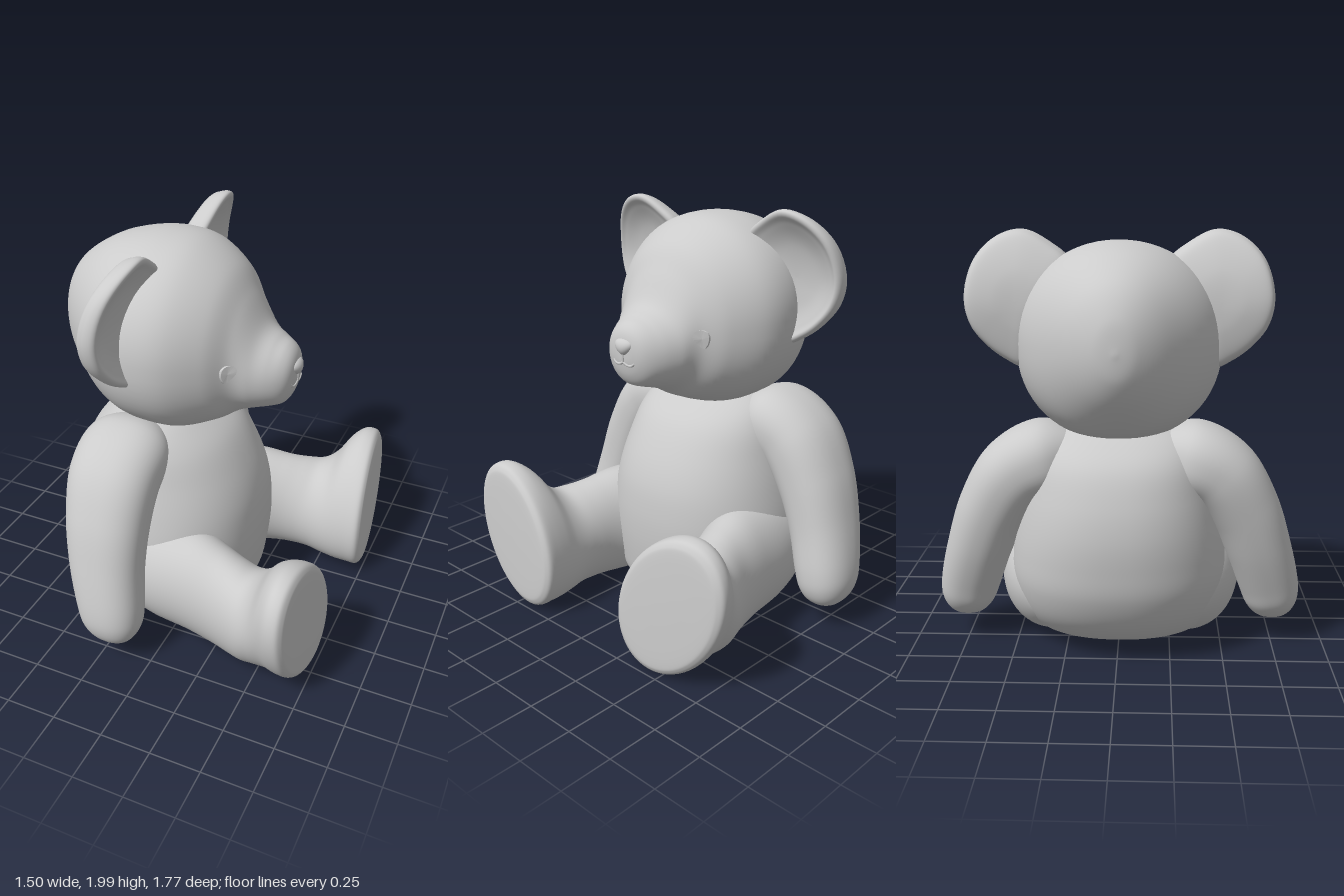
import * as THREE from 'three';

const V = (x, y, z) => new THREE.Vector3(x, y, z);

// Smooth value of a table of rows at position s (0..1), column by column
function sample(rows, s) {
  const f = s * (rows.length - 1), i = Math.min(Math.floor(f), rows.length - 2), t = f - i;
  const at = k => rows[Math.max(0, Math.min(rows.length - 1, k))];
  return rows[0].map((_, c) => {
    const a = at(i - 1)[c], b = at(i)[c], d = at(i + 1)[c], e = at(i + 2)[c];
    return b + 0.5 * t * (d - a + t * (2 * a - 5 * b + 4 * d - e + t * (3 * (b - d) + e - a)));
  });
}

// Closed skin through cross-sections; point(row, angle) gives each surface point
function loft(rows, point, steps = 72, around = 64) {
  const pos = [], idx = [];
  for (let i = 0; i <= steps; i++) {
    const row = sample(rows, i / steps);
    for (let j = 0; j < around; j++) pos.push(...point(row, j / around * Math.PI * 2).toArray());
  }
  for (let i = 0; i < steps; i++) for (let j = 0; j < around; j++) {
    const a = i * around + j, b = i * around + (j + 1) % around;
    idx.push(a, b, a + around, b, b + around, a + around);
  }
  // Cap both ends
  for (const [start, flip] of [[0, true], [steps * around, false]]) {
    const c = pos.length / 3, m = V(0, 0, 0);
    for (let j = 0; j < around; j++) m.add(V(...pos.slice((start + j) * 3, (start + j) * 3 + 3)));
    pos.push(...m.divideScalar(around).toArray());
    for (let j = 0; j < around; j++) {
      const a = start + j, b = start + (j + 1) % around;
      idx.push(...(flip ? [b, a, c] : [a, b, c]));
    }
  }
  // Turn the skin outwards if its signed volume is negative
  const p = k => V(pos[k * 3], pos[k * 3 + 1], pos[k * 3 + 2]);
  let volume = 0;
  for (let k = 0; k < idx.length; k += 3) volume += p(idx[k]).dot(p(idx[k + 1]).cross(p(idx[k + 2])));
  if (volume < 0) idx.reverse();
  const g = new THREE.BufferGeometry();
  g.setAttribute('position', new THREE.Float32BufferAttribute(pos, 3));
  g.setIndex(idx);
  g.computeVertexNormals();
  return g;
}

// Cosine or sine rounded towards a box by exponent n
const soft = (v, n) => Math.sign(v) * Math.pow(Math.abs(v), 2 / n);

export function createModel() {
  const bear = new THREE.Group();
  bear.name = 'teddyBear';
  const fur = new THREE.MeshStandardMaterial({ color: 0xcccccc });
  const thin = new THREE.MeshStandardMaterial({ color: 0xcccccc, side: THREE.DoubleSide });
  const add = (name, geometry, material = fur) => {
    const mesh = new THREE.Mesh(geometry, material);
    mesh.name = name;
    bear.add(mesh);
    return mesh;
  };

  // Body: height, back x, front x, half width
  add('body', loft([
    [0.012, -0.2, 0.12, 0.14], [0.03, -0.31, 0.2, 0.33], [0.09, -0.46, 0.25, 0.43],
    [0.2, -0.575, 0.27, 0.49], [0.35, -0.65, 0.285, 0.52], [0.5, -0.675, 0.285, 0.515],
    [0.65, -0.68, 0.265, 0.49], [0.8, -0.655, 0.21, 0.455], [0.95, -0.595, 0.12, 0.415],
    [1.05, -0.49, 0, 0.35], [1.12, -0.36, -0.12, 0.2],
  ], ([y, b, f, w], t) => V((b + f) / 2 + (f - b) / 2 * soft(Math.cos(t), 2.2), y,
    w * soft(Math.sin(t), 2.2))));

  // Head and muzzle: x, top, bottom, half width, squareness of the cheeks
  const head = add('head', loft([
    [-0.75, 1.51, 1.49, 0.01, 2], [-0.73, 1.65, 1.37, 0.1, 2], [-0.65, 1.785, 1.24, 0.22, 2.1],
    [-0.5, 1.89, 1.1, 0.36, 2.2], [-0.35, 1.94, 1.04, 0.45, 2.25], [-0.2, 1.955, 1.03, 0.487, 2.3],
    [-0.05, 1.93, 1.035, 0.465, 2.3], [0.1, 1.835, 1.085, 0.365, 2.25], [0.19, 1.71, 1.135, 0.265, 2.15],
    [0.27, 1.575, 1.165, 0.22, 2.1], [0.34, 1.525, 1.185, 0.18, 2.1], [0.39, 1.5, 1.205, 0.142, 2.1],
    [0.42, 1.47, 1.25, 0.105, 2], [0.435, 1.43, 1.31, 0.06, 2], [0.438, 1.38, 1.36, 0.01, 2],
  ], ([x, a, b, w, n], t) => {
    const m = Math.sin(t) > 0 ? 2.05 : n;
    return V(x, (a + b) / 2 + (a - b) / 2 * soft(Math.sin(t), m), w * soft(Math.cos(t), m));
  }, 112));

  // Point on the face at a given height and side, lifted slightly
  head.updateMatrixWorld();
  const ray = new THREE.Raycaster();
  const onFace = (y, z, lift) => {
    ray.set(V(2, y, z), V(-1, 0, 0));
    const hit = ray.intersectObject(head)[0];
    return V((hit ? hit.point.x : 0.4) + lift, y, z);
  };

  // Nose
  const nose = new THREE.SphereGeometry(1, 32, 20);
  const np = nose.attributes.position;
  for (let i = 0; i < np.count; i++) {
    const y = np.getY(i);
    np.setXYZ(i, 0.425 + 0.034 * np.getX(i), 1.392 + 0.04 * y, np.getZ(i) * (0.052 + 0.02 * y));
  }
  nose.computeVertexNormals();
  add('nose', nose);

  // Mouth: a short stem and two curved lips
  const line = pts => new THREE.TubeGeometry(
    new THREE.CatmullRomCurve3(pts.map(([y, z]) => onFace(y, z, 0))), 16, 0.006, 8);
  add('mouthStem', line([[1.36, 0], [1.34, 0], [1.318, 0]]));

  for (const s of [1, -1]) {
    const side = s > 0 ? 'right' : 'left';
    const name = part => side + part;
    add(name('Lip'), line([[1.32, 0], [1.309, s * 0.025], [1.309, s * 0.048], [1.322, s * 0.068]]));

    // Eye: teardrop button, a raised face with a short rim
    const mid = onFace(1.43, s * 0.27, 0.01), eye = [], n = 24;
    const corner = (i, lift) => {
      const t = i / n * Math.PI * 2, drop = Math.sin(t);
      return onFace(1.428 + 0.043 * drop,
        s * (0.27 + 0.032 * Math.cos(t) * (0.75 + 0.3 * drop) - 0.006 * drop), lift);
    };
    for (let i = 0; i < n; i++) {
      const [a, b, c, d] = [corner(i, 0.01), corner(i + 1, 0.01), corner(i, -0.01), corner(i + 1, -0.01)];
      eye.push(...(s > 0 ? [mid, b, a, a, b, c, b, d, c] : [mid, a, b, a, c, b, b, c, d]));
    }
    const eyeGeo = new THREE.BufferGeometry().setFromPoints(eye);
    eyeGeo.computeVertexNormals();
    add(name('Eye'), eyeGeo, thin);

    // Ear: cupped dish, rows run from the front hollow over the rim to the back
    const rim = new THREE.CatmullRomCurve3([
      [0.23, 1.86], [0.32, 1.94], [0.45, 2], [0.57, 1.97], [0.67, 1.87], [0.715, 1.7],
      [0.69, 1.57], [0.62, 1.475], [0.53, 1.405], [0.44, 1.37], [0.33, 1.5], [0.22, 1.7],
    ].map(([z, y]) => V(0, y, z)), true);
    add(name('Ear'), loft([
      [0.01, -0.03], [0.5, -0.025], [0.8, -0.003], [0.93, 0.012], [1, -0.005],
      [0.99, -0.045], [0.88, -0.088], [0.45, -0.115], [0.01, -0.118],
    ], ([r, dx], t) => {
      const q = rim.getPoint(t / (Math.PI * 2));
      const y = 1.68 + (q.y - 1.68) * r, z = 0.47 + (q.z - 0.47) * r;
      const lean = Math.max(0, (y - 1.62) / 0.38), out = Math.max(0, (z - 0.47) / 0.24);
      // The front swells forward where it meets the head
      const root = dx > -0.04 ? 0.05 * THREE.MathUtils.smoothstep(0.5 - z, 0, 0.2) : 0;
      return V(-0.215 + 0.09 * lean * lean - 0.025 * out * out + dx + root * (1 - lean), y, s * z);
    }));

    // Arm: centre x, y, z, half depth, half thickness, tilt in degrees
    add(name('Arm'), loft([
      [-0.28, 0.98, 0.16, 0.1, 0.08, 80], [-0.29, 0.96, 0.32, 0.215, 0.175, 70],
      [-0.295, 0.87, 0.49, 0.222, 0.18, 45], [-0.28, 0.69, 0.605, 0.205, 0.168, 28],
      [-0.255, 0.49, 0.68, 0.185, 0.155, 18], [-0.215, 0.3, 0.735, 0.165, 0.145, 10],
      [-0.2, 0.2, 0.752, 0.142, 0.126, 5], [-0.19, 0.135, 0.752, 0.09, 0.08, 0],
      [-0.19, 0.112, 0.75, 0.01, 0.01, 0],
    ], ([x, y, z, hx, hv, deg], t) => {
      const a = deg * Math.PI / 180, v = hv * soft(Math.sin(t), 2.3);
      return V(x + hx * soft(Math.cos(t), 2.3), y + v * Math.sin(a), s * (z + v * Math.cos(a)));
    }));

    // Leg and foot: x, bottom, top, inner z, outer z, slant; the sole is tilted
    add(name('Leg'), loft([
      [-0.52, 0.26, 0.38, 0.2, 0.3, 0], [-0.42, 0.16, 0.49, 0.14, 0.45, 0],
      [-0.27, 0.06, 0.56, 0.11, 0.55, 0], [-0.1, 0.018, 0.58, 0.14, 0.595, 0],
      [0.1, 0.012, 0.585, 0.2, 0.615, 0], [0.25, 0.01, 0.555, 0.26, 0.64, 0],
      [0.35, 0.01, 0.535, 0.28, 0.68, 0.05], [0.43, 0.012, 0.53, 0.28, 0.72, 0.12],
      [0.5, 0.01, 0.575, 0.27, 0.75, 0.22], [0.57, 0.008, 0.665, 0.255, 0.79, 0.3],
      [0.635, 0.008, 0.708, 0.245, 0.83, 0.32], [0.69, 0.012, 0.708, 0.24, 0.84, 0.32],
      [0.715, 0.035, 0.685, 0.26, 0.82, 0.32], [0.724, 0.08, 0.64, 0.3, 0.78, 0.32],
      [0.728, 0.24, 0.49, 0.43, 0.65, 0.32], [0.729, 0.355, 0.37, 0.53, 0.55, 0.32],
    ], ([x, b, t1, zi, zo, slant], t) => {
      const y = (b + t1) / 2 + (t1 - b) / 2 * Math.sin(t + slant);
      const z = (zi + zo) / 2 + (zo - zi) / 2 * Math.cos(t);
      const w = THREE.MathUtils.smoothstep(x, 0.4, 0.7);
      return V(x - w * (0.07 * (z - 0.54) + 0.035 * (y - 0.36)), y, s * z);
    }, 96));
  }
  return bear;
}
